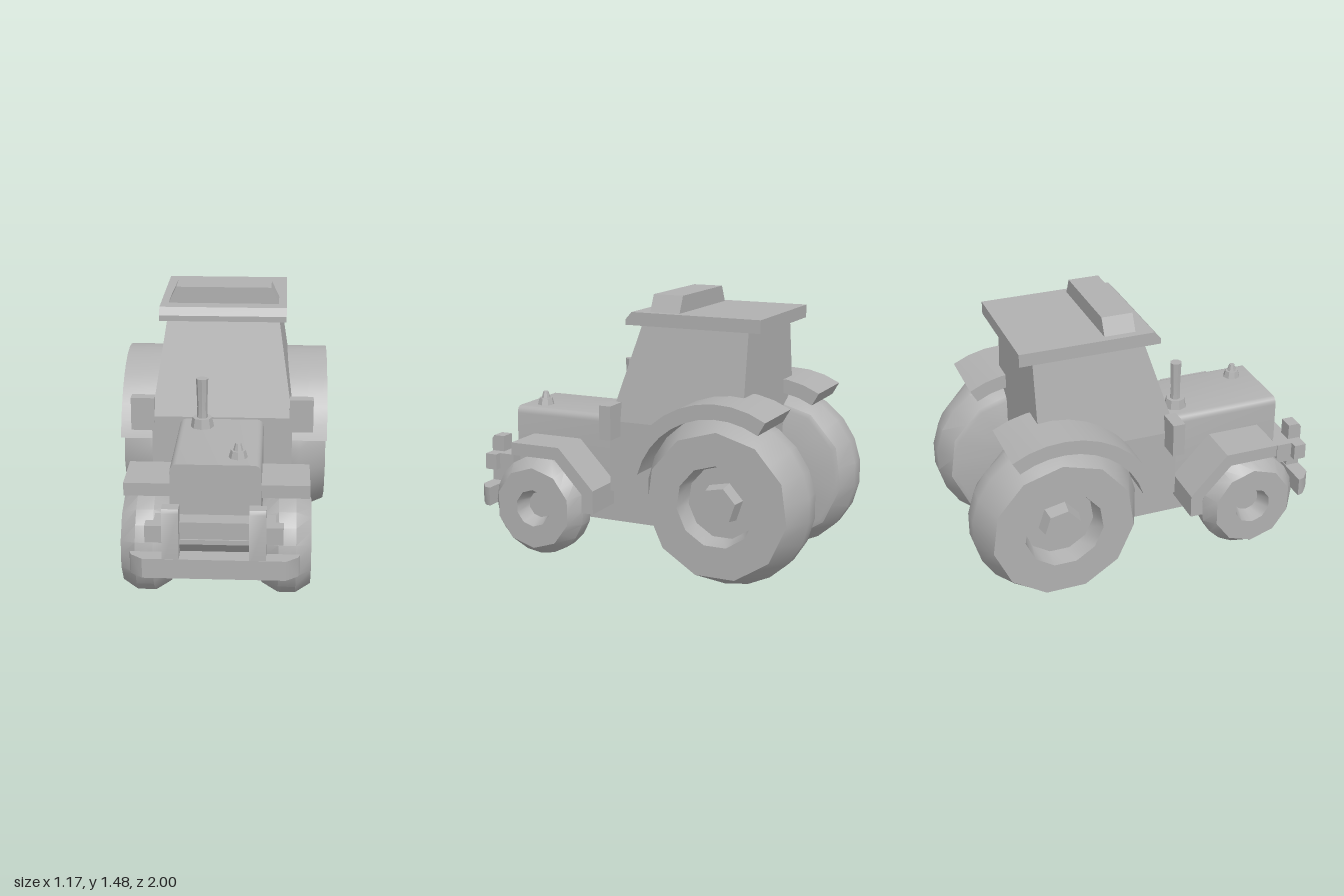
import * as THREE from 'three';
import { toCreasedNormals } from 'three/addons/utils/BufferGeometryUtils.js';

export function createModel() {
  const model = new THREE.Group();
  model.name = 'tractor';
  const grey = new THREE.MeshStandardMaterial({ color: 0xb0b0b0 });
  grey.name = 'plain grey';

  const add = (name, geo, parent = model) => {
    const mesh = new THREE.Mesh(toCreasedNormals(geo, 0.6), grey);
    mesh.name = name;
    parent.add(mesh);
    return mesh;
  };
  // box from its limits
  const box = (x0, x1, y0, y1, z0, z1) =>
    new THREE.BoxGeometry(x1 - x0, y1 - y0, z1 - z0)
      .translate((x0 + x1) / 2, (y0 + y1) / 2, (z0 + z1) / 2);
  const shapeOf = (pts) => new THREE.Shape(pts.map((p) => new THREE.Vector2(...p)));
  const extrude = (pts, depth) =>
    new THREE.ExtrudeGeometry(shapeOf(pts), { depth, bevelEnabled: false });
  // side profile [z, y] swept from x0 to x1
  const sideSweep = (pts, x0, x1) =>
    extrude(pts, x1 - x0).rotateY(-Math.PI / 2).translate(x1, 0, 0);
  // plan profile [x, z] swept from y0 to y1
  const planSweep = (pts, y0, y1) =>
    extrude(pts, y1 - y0).rotateX(Math.PI / 2).translate(0, y1, 0);

  // Chassis and axles
  add('chassis', box(-0.23, 0.23, 0.19, 0.41, -0.6, 0.84));
  add('frontAxle', new THREE.CylinderGeometry(0.06, 0.06, 0.6, 10)
    .rotateZ(Math.PI / 2).translate(0, 0.28, 0.595));
  add('rearAxle', new THREE.CylinderGeometry(0.09, 0.09, 0.6, 10)
    .rotateZ(Math.PI / 2).translate(0, 0.455, -0.5));

  // Hood with rounded upper edges
  const hood = [[-0.23, 0.4], [0.23, 0.4]];
  for (let i = 0; i <= 4; i++) {
    const a = (i / 4) * Math.PI / 2;
    hood.push([0.195 + 0.035 * Math.cos(a), 0.75 + 0.04 * Math.sin(a)]);
  }
  for (let i = 4; i >= 0; i--) {
    const a = (i / 4) * Math.PI / 2;
    hood.push([-0.195 - 0.035 * Math.cos(a), 0.75 + 0.04 * Math.sin(a)]);
  }
  add('hood', extrude(hood, 0.74).translate(0, 0, 0.1));

  // Cab: straight lower part, tapering upper part
  add('cabLower', box(-0.385, 0.385, 0.41, 0.8, -0.605, 0.16));
  const cab = sideSweep([[0.16, 0.8], [0, 1.325], [-0.605, 1.325], [-0.605, 0.8]].reverse(), -1, 1);
  const cp = cab.attributes.position;
  for (let i = 0; i < cp.count; i++) {
    const t = (cp.getY(i) - 0.8) / 0.525;
    cp.setX(i, cp.getX(i) * THREE.MathUtils.lerp(0.385, 0.305, t));
  }
  add('cabUpper', cab);

  // Roof with chamfered front, and the raised unit on top
  add('roof', sideSweep([[-0.685, 1.32], [0.08, 1.32], [0.08, 1.35], [0.045, 1.39], [-0.685, 1.39]], -0.345, 0.345));
  add('roofUnit', extrude([[-0.305, 1.385], [0.305, 1.385], [0.26, 1.48], [-0.26, 1.48]], 0.17)
    .translate(0, 0, -0.215));

  // Rear hitch
  add('rearHitchBox', planSweep([[-0.19, -0.58], [-0.19, -0.72], [-0.155, -0.76],
    [0.155, -0.76], [0.19, -0.72], [0.19, -0.58]], 0.3, 0.44));
  add('rearHitchLower', extrude([[-0.1, 0.17], [0.1, 0.17], [0.13, 0.2], [0.13, 0.26],
    [0.1, 0.29], [-0.1, 0.29], [-0.13, 0.26], [-0.13, 0.2]], 0.14).translate(0, 0, -0.7));

  // Exhaust and cap on the hood
  const turned = (name, pts, x, z) => add(name, new THREE.LatheGeometry(
    pts.map((p) => new THREE.Vector2(...p)), 8).translate(x, 0, z));
  turned('exhaust', [[0.064, 0.785], [0.053, 0.842], [0.03, 0.842], [0.027, 0.9],
    [0.033, 1.06], [0, 1.06]], -0.1, 0.275);
  turned('hoodCap', [[0.05, 0.785], [0.038, 0.828], [0.026, 0.828], [0.015, 0.865],
    [0, 0.865]], 0.11, 0.722);

  // Front bumper, guard posts and crossbars
  add('bumper', planSweep([[-0.43, 0.915], [0.43, 0.915], [0.42, 0.95], [0.36, 1],
    [-0.36, 1], [-0.42, 0.95]], 0.24, 0.345));
  add('upperCrossbar', box(-0.2, 0.2, 0.43, 0.52, 0.83, 0.94));
  add('lowerCrossbar', sideSweep([[0.83, 0.345], [0.9, 0.345], [0.95, 0.405],
    [0.95, 0.43], [0.83, 0.43]], -0.18, 0.18));
  add('bumperMount', box(-0.2, 0.2, 0.25, 0.345, 0.83, 0.93));

  // Wheel turned about x; side faces have half as many corners as the tread
  const wheel = (w) => {
    const n = w.sides * 2;
    const geo = new THREE.LatheGeometry(
      w.profile.map((p) => new THREE.Vector2(p[0], p[1])), n, -Math.PI / 2);
    const pos = geo.attributes.position;
    const k = Math.cos(Math.PI / w.sides);
    for (let i = 0; i < pos.count; i++) {
      const coarse = w.profile[i % w.profile.length][2];
      const segment = Math.floor(i / w.profile.length);
      if (coarse && segment % 2) {
        pos.setX(i, pos.getX(i) * k);
        pos.setZ(i, pos.getZ(i) * k);
      }
    }
    return geo.rotateZ(-Math.PI / 2);
  };
  // profile points: radius, x, coarse flag
  const rear = { sides: 11, profile: [[0, 0.225], [0.38, 0.225, 1], [0.405, 0.235, 1], [0.455, 0.34],
    [0.455, 0.43], [0.39, 0.582, 1], [0.217, 0.582, 1], [0.195, 0.48, 1], [0, 0.48]] };
  const front = { sides: 10, profile: [[0, 0.225], [0.2, 0.225, 1], [0.23, 0.235, 1], [0.28, 0.32],
    [0.28, 0.41], [0.23, 0.488, 1], [0.105, 0.488, 1], [0.075, 0.4, 1], [0, 0.4]] };

  // Rear fender arc around the wheel
  const arc = [];
  const N = 10;
  const addArc = (r, i) => {
    const a = THREE.MathUtils.degToRad(15.7 + 104 * i / N);
    arc.push([-0.545 + r * Math.cos(a), 0.455 + r * Math.sin(a)]);
  };
  for (let i = 0; i <= N; i++) addArc(0.535, i);
  for (let i = N; i >= 0; i--) addArc(0.457, i);

  const frontFender = [[0.73, 0.57], [0.73, 0.64], [0.43, 0.64], [0.22, 0.42],
    [0.22, 0.29], [0.29, 0.29], [0.29, 0.395], [0.455, 0.57]];

  // Paired parts: the right side is placed by negating x limits
  for (const [side, s] of [['left', 1], ['right', -1]]) {
    const half = new THREE.Group();
    half.name = side + 'SideParts';
    model.add(half);
    const span = (x0, x1) => (s > 0 ? [x0, x1] : [-x1, -x0]);

    const rw = add('rearWheel', wheel(rear), half);
    rw.position.set(0, 0.455, -0.545);
    const nut = add('rearHub', new THREE.CylinderGeometry(0.1, 0.115, 0.08, 6)
      .rotateZ(-Math.PI / 2).translate(0.515, 0, 0), rw);
    nut.rotation.x = 0.2;
    const fw = add('frontWheel', wheel(front), half);
    fw.position.set(0, 0.28, 0.595);
    if (s < 0) rw.rotation.y = fw.rotation.y = Math.PI;

    add('rearFender', sideSweep(arc, ...span(0.225, 0.585)), half);
    add('frontFender', sideSweep(frontFender, ...span(0.22, 0.478)), half);
    add('mirror', box(...span(0.37, 0.5), 0.72, 0.905, 0.095, 0.162), half);
    add('guardPost', sideSweep([[0.92, 0.3], [0.998, 0.3], [0.998, 0.59], [0.985, 0.61],
      [0.92, 0.61]], ...span(0.175, 0.26)), half);
    add('lampBracket', box(...span(0.2, 0.305), 0.405, 0.52, 0.83, 0.93), half);
    add('lamp', sideSweep([[0.92, 0.43], [0.99, 0.43], [0.99, 0.52], [0.92, 0.52]],
      ...span(0.25, 0.345)), half);
  }
  return model;
}
